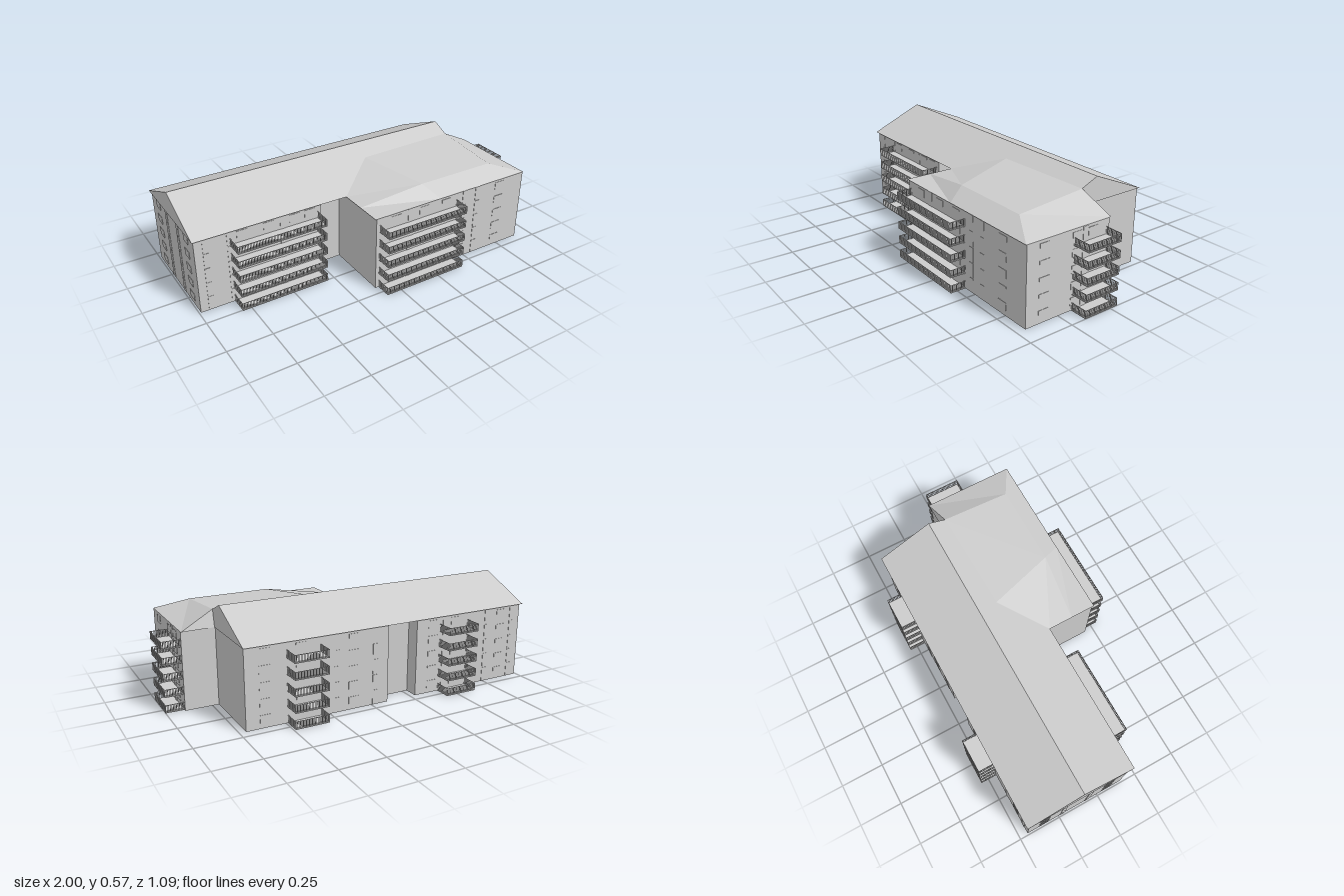
import * as THREE from 'three';
import { mergeGeometries } from 'three/addons/utils/BufferGeometryUtils.js';

const EAVE = 0.433;
const FLOORS = [0, 0.086, 0.172, 0.259, 0.346];

export function createModel() {
  const model = new THREE.Group();
  const grey = new THREE.MeshStandardMaterial({ color: 0xcccccc });
  grey.name = 'plain grey';

  const add = (name, geometry, parent = model) => {
    const mesh = new THREE.Mesh(geometry, grey);
    mesh.name = name;
    parent.add(mesh);
    return mesh;
  };
  const box = (w, h, d, x, y, z) => new THREE.BoxGeometry(w, h, d).translate(x, y, z);
  const shapeOf = (pts) => new THREE.Shape(pts.map(([a, b]) => new THREE.Vector2(a, b)));

  // Walls: footprint (x, z) with stair recesses at front and back, and the side wing
  const footprint = [
    [-0.99, 0.155], [-0.27, 0.155], [-0.27, 0.075], [-0.11, 0.075], [-0.11, 0.45],
    [0.9, 0.45], [0.9, -0.06], [0.715, -0.06], [0.715, -0.45],
    [-0.1, -0.45], [-0.1, -0.37], [-0.28, -0.37], [-0.28, -0.45], [-0.99, -0.45],
  ];
  add('walls', new THREE.ExtrudeGeometry(
    shapeOf(footprint.map(([x, z]) => [x, -z])), { depth: EAVE, bevelEnabled: false },
  ).rotateX(-Math.PI / 2));

  // Main gable roof, running along x
  add('mainRoof', new THREE.ExtrudeGeometry(
    shapeOf([[-0.17, EAVE], [0.465, EAVE], [0.145, 0.57]]), { depth: 1.72, bevelEnabled: false },
  ).rotateY(Math.PI / 2).translate(-1, 0, 0));

  // Wing roof: hipped facets sharing a few corner points
  const P = {
    A: [-0.12, EAVE, 0.17], B: [-0.12, EAVE, 0.31], C: [-0.12, EAVE, 0.455],
    D: [0.3, EAVE, 0.455], E: [0.25, 0.49, 0.35], F: [0.72, 0.49, 0.35],
    G: [0.9, EAVE, 0.455], H: [0.9, EAVE, -0.07], I: [0.72, 0.526, -0.045],
    J: [0.13, 0.522, -0.03], K: [0.72, EAVE, -0.065],
  };
  const corners = [];
  for (const face of ['ABEJ', 'EFIJ', 'BCDE', 'EDGF', 'FGHI', 'IHK', 'AKHGC']) {
    for (let i = 1; i < face.length - 1; i++) {
      corners.push(...P[face[0]], ...P[face[i]], ...P[face[i + 1]]);
    }
  }
  const wingRoof = new THREE.BufferGeometry();
  wingRoof.setAttribute('position', new THREE.Float32BufferAttribute(corners, 3));
  wingRoof.computeVertexNormals();
  add('wingRoof', wingRoof);

  // Group on a wall: local x runs along the wall, local +z points outwards
  const onWall = (name, x, z, turn) => {
    const group = new THREE.Group();
    group.name = name;
    group.position.set(x, 0, z);
    group.rotation.y = turn * Math.PI / 2;
    model.add(group);
    return group;
  };

  // Balcony stack: thin slabs, top rails and rows of upright bars
  const balconies = (name, x, z, turn, width, depth) => {
    const group = onWall(name, x, z, turn);
    const slabs = [], rails = [];
    const h = 0.042, t = 0.003, half = width / 2 - t / 2, out = depth - t / 2;
    const across = Math.round(width / 0.0083), along = Math.round(depth / 0.0083);
    for (const y of FLOORS) {
      slabs.push(box(width, 0.004, depth, 0, y + 0.002, depth / 2));
      rails.push(box(width, t, t, 0, y + h, out));
      for (let i = 0; i <= across; i++) {
        rails.push(box(t, h, t, -half + 2 * half * i / across, y + h / 2, out));
      }
      for (const s of [-1, 1]) {
        rails.push(box(t, t, depth, s * half, y + h, depth / 2));
        for (let i = 0; i < along; i++) {
          rails.push(box(t, h, t, s * half, y + h / 2, out * i / along));
        }
      }
    }
    add('balconySlabs', mergeGeometries(slabs), group);
    add('balconyRailings', mergeGeometries(rails), group);
  };
  balconies('mainFrontBalconies', -0.545, 0.155, 0, 0.51, 0.1);
  balconies('wingFrontBalconies', 0.165, 0.45, 0, 0.51, 0.09);
  balconies('wingSideBalconies', 0.9, 0.06, 1, 0.21, 0.1);
  balconies('backBalconiesLeft', 0.395, -0.45, 2, 0.19, 0.095);
  balconies('backBalconiesRight', -0.525, -0.45, 2, 0.19, 0.095);

  // Windows: thin plates on every floor; stairs: full-height glazed strips
  const facade = (name, x, z, turn, windows, strips) => {
    const group = onWall(name, x, z, turn);
    const plates = [];
    for (const y of FLOORS) {
      for (const wx of windows) plates.push(box(0.06, 0.042, 0.002, wx, y + 0.05, 0.001));
      for (const sx of strips) plates.push(box(0.03, 0.08, 0.002, sx, y + 0.043, 0.001));
    }
    add('windowPlates', mergeGeometries(plates), group);
  };
  facade('mainFrontWindows', -0.63, 0.155, 0, [-0.1, 0.05, 0.2, 0.29], [-0.3, -0.17, 0.13]);
  facade('wingFrontWindows', 0.395, 0.45, 0, [-0.38, -0.2, -0.05, 0.33], [-0.29, 0.08, 0.17]);
  facade('wingSideWindows', 0.9, 0.195, 1, [-0.15, 0.05, 0.15], [0.1]);
  facade('backWindowsLeft', 0.31, -0.45, 2, [-0.3, -0.1, 0.2], [0.1, 0.33]);
  facade('backWindowsRight', -0.635, -0.45, 2, [-0.25, -0.1, 0.22], [-0.17, 0.12, 0.3]);
  facade('endWindows', -0.99, -0.147, -1, [-0.2, 0.2], [-0.08, 0.08]);

  return model;
}
